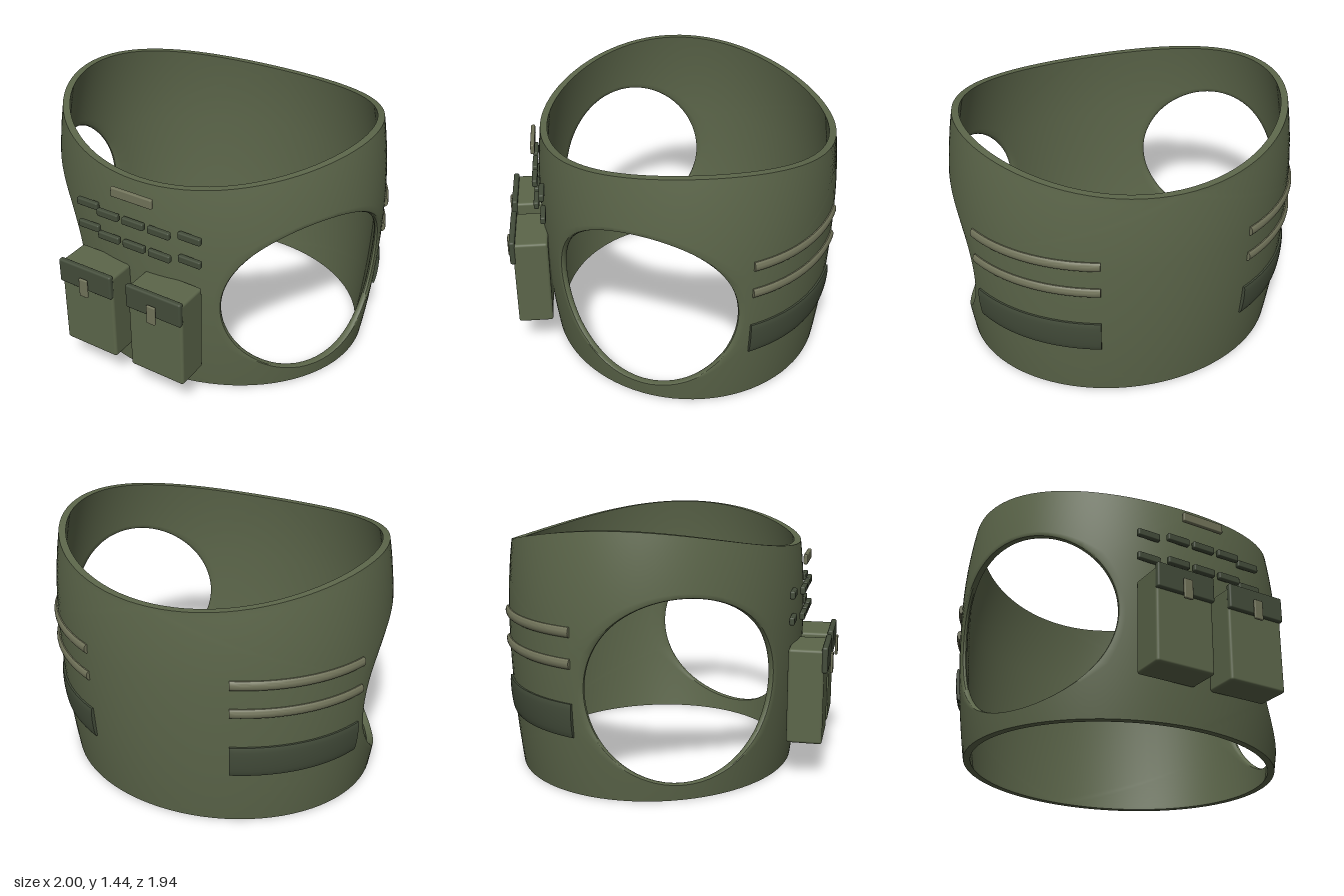
import * as THREE from 'three';
import { mergeGeometries, toCreasedNormals } from 'three/addons/utils/BufferGeometryUtils.js';
import { RoundedBoxGeometry } from 'three/addons/geometries/RoundedBoxGeometry.js';

const material = (color) => new THREE.MeshStandardMaterial({ color });
const rad = THREE.MathUtils.degToRad;

// Barrel profile, rim height and a point on the torso surface (phi 0 = side, 90 = front)
const swell = (y) => 1 - (y < 0.88 ? 0.09 : 0.165) * (y - 0.88) ** 2;
const rimHeight = (phi) => 1.295 + 0.145 * Math.cos(phi) ** 2;
const onTorso = (phi, y, out) => [
  (swell(y) + out) * Math.cos(phi), y, -0.1 + (0.87 * swell(y) + out) * Math.sin(phi),
];

// Arm opening, an ellipse in (phi, y)
const hole = { phi: rad(24.8), y: 0.595, rPhi: rad(36.8), rY: 0.505 };
const THICK = 0.04;

// Mirror a non-indexed geometry across x, keeping faces outward
function mirrored(geometry) {
  const g = geometry.clone();
  const p = g.attributes.position.array;
  for (let i = 0; i < p.length; i += 9) {
    for (let k = 0; k < 3; k++) [p[i + 3 + k], p[i + 6 + k]] = [p[i + 6 + k], p[i + 3 + k]];
    for (let k = 0; k < 9; k += 3) p[i + k] *= -1;
  }
  return g;
}

// Half of the shell: rings run from the outline to the arm opening, round its edge and back inside
function halfShell() {
  const n = 44, q = Math.PI / 2;
  const outline = [];
  for (let side = 0; side < 4; side++) {
    for (let i = 0; i < n; i++) {
      const f = i / n;
      const [u, v] = [[f, 0], [1, f], [1 - f, 1], [0, 1 - f]][side];
      const phi = -q + 2 * q * u;
      outline.push({ phi, y: v * rimHeight(phi), rim: side % 2 === 0 });
    }
  }
  const steps = [];
  for (let i = 0; i <= 18; i++) steps.push(0.97 * (i / 18));
  const path = [
    ...steps.map((t) => [t, 0]),
    [0.99, -0.004], [1, -0.013], [1, 0.013 - THICK], [0.99, 0.004 - THICK],
    ...steps.slice().reverse().map((t) => [t, -THICK]),
  ];
  const columns = outline.map(({ phi, y }) => {
    const a = Math.atan2((y - hole.y) / hole.rY, (phi - hole.phi) / hole.rPhi);
    const hp = hole.phi + hole.rPhi * Math.cos(a);
    const hy = hole.y + hole.rY * Math.sin(a);
    return path.map(([t, d]) => onTorso(phi + (hp - phi) * t, y + (hy - y) * t, d));
  });
  const pos = [];
  columns.forEach((A, i) => {
    const B = columns[(i + 1) % columns.length];
    // Only the neck and waist rims close across the thickness
    const count = outline[i].rim ? path.length : path.length - 1;
    for (let j = 0; j < count; j++) {
      const k = (j + 1) % path.length;
      pos.push(...A[j], ...A[k], ...B[j], ...B[j], ...A[k], ...B[k]);
    }
  });
  const g = new THREE.BufferGeometry();
  g.setAttribute('position', new THREE.Float32BufferAttribute(pos, 3));
  return g;
}

// Raised band with a rounded section, bent round the back quarter
function band(y0, y1, bulge, edge) {
  const s = new THREE.Shape();
  s.moveTo(-0.02, y0);
  s.lineTo(edge, y0);
  s.bezierCurveTo(bulge, y0 + 0.008, bulge, y1 - 0.008, edge, y1);
  s.lineTo(-0.02, y1);
  s.closePath();
  const from = rad(-64.5), to = rad(-16.5);
  const extruded = new THREE.ExtrudeGeometry(s, { depth: 1, steps: 28, curveSegments: 8, bevelEnabled: false });
  const g = extruded.index ? extruded.toNonIndexed() : extruded;
  g.deleteAttribute('uv');
  g.deleteAttribute('normal');
  const p = g.attributes.position;
  const mid = (y0 + y1) / 2;
  for (let i = 0; i < p.count; i++) {
    const y = p.getY(i);
    const phi = from + (to - from) * p.getZ(i);
    const [x, , z] = onTorso(phi, mid, p.getX(i) + swell(y) - swell(mid));
    p.setXYZ(i, x, y, z);
  }
  return g;
}

export function createModel() {
  const model = new THREE.Group();
  model.name = 'armouredVest';
  const olive = material(0x5c664a);
  const dark = material(0x434c3a);
  const light = material(0x707259);

  const add = (name, geometry, mat, parent = model) => {
    const mesh = new THREE.Mesh(geometry, mat);
    mesh.name = name;
    parent.add(mesh);
    return mesh;
  };
  const block = (name, size, at, radius, mat, parent) =>
    add(name, new RoundedBoxGeometry(...size, 3, radius), mat, parent).position.set(...at);

  // Torso shell
  const half = halfShell();
  add('torsoShell', toCreasedNormals(mergeGeometries([half, mirrored(half)]), 0.65), olive);

  // Back strips and panels on both sides
  const bands = [
    ['upperBackStrip', 0.885, 0.94, 0.024, 0.006, light],
    ['lowerBackStrip', 0.715, 0.77, 0.024, 0.006, light],
    ['backPanel', 0.335, 0.525, 0.022, 0.01, dark],
  ];
  for (const [name, y0, y1, bulge, edge, mat] of bands) {
    const g = band(y0, y1, bulge, edge);
    add(name + 'Left', toCreasedNormals(g, 0.6), mat);
    add(name + 'Right', toCreasedNormals(mirrored(g), 0.6), mat);
  }

  // Front pouches with flap and buckle
  for (const [name, x] of [['pouchLeft', 0.225], ['pouchRight', -0.229]]) {
    const pouch = new THREE.Group();
    pouch.name = name;
    model.add(pouch);
    block('pouchBody', [0.35, 0.54, 0.2], [x, 0.48, 0.83], 0.016, olive, pouch);
    block('pouchFlap', [0.355, 0.148, 0.034], [x, 0.695, 0.933], 0.012, dark, pouch);
    block('pouchBuckle', [0.055, 0.115, 0.016], [x, 0.645, 0.962], 0.006, light, pouch);
  }

  // Chest webbing loops in two rows
  for (const y of [0.905, 1.05]) {
    for (let i = -2; i <= 2; i++) {
      const z = Math.abs(i) === 2 ? 0.747 : 0.787;
      block('webbingLoop', [0.14, 0.044, 0.03], [i * 0.167, y, z], 0.009, dark);
    }
  }

  // Blank chest tape
  block('chestTape', [0.265, 0.058, 0.024], [0, 1.212, 0.79], 0.008, light);

  return model;
}
